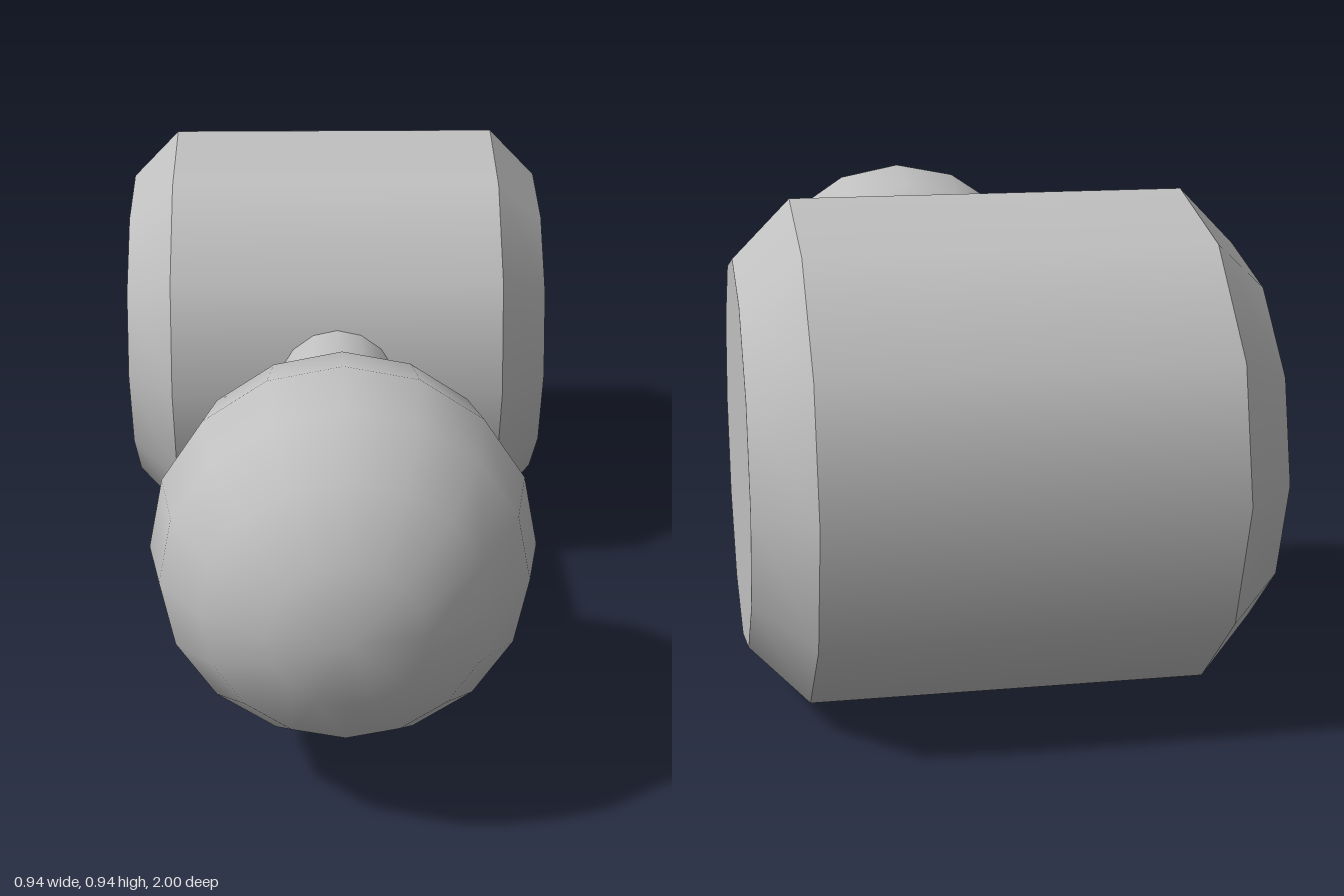
import * as THREE from 'three';

export function createModel() {
  const group = new THREE.Group();
  const grey = new THREE.MeshStandardMaterial({ color: 0xc0c0c0 });
  grey.name = 'grey';

  const add = (parent, name, geometry) => {
    const mesh = new THREE.Mesh(geometry, grey);
    mesh.name = name;
    parent.add(mesh);
    return mesh;
  };

  const centreY = 0.47;

  // Drum head: twelve-sided barrel lying along x, with bevelled ends
  const drumRadius = 0.47, capRadius = 0.363, halfBarrel = 0.365, halfLength = 0.47;
  const bevel = halfLength - halfBarrel;
  const drum = new THREE.Group();
  drum.name = 'drum';
  drum.position.set(0, centreY, -0.53);
  group.add(drum);

  add(drum, 'barrel', new THREE.CylinderGeometry(drumRadius, drumRadius, halfBarrel * 2, 12, 1, true)
    .rotateZ(Math.PI / 2));

  for (const [side, sign] of [['left', 1], ['right', -1]]) {
    add(drum, side + 'Bevel', new THREE.CylinderGeometry(capRadius, drumRadius, bevel, 12, 1, true)
      .rotateZ(-sign * Math.PI / 2)
      .translate(sign * (halfBarrel + bevel / 2), 0, 0));
    add(drum, side + 'Cap', new THREE.CircleGeometry(capRadius, 12)
      .rotateY(sign * Math.PI / 2)
      .translate(sign * halfLength, 0, 0));
  }

  // Ball: poles along z, last ring left open where the stem joins
  const ballRadius = 0.358, ballZ = 0.642, openAngle = Math.PI / 8;
  add(group, 'ball', new THREE.SphereGeometry(ballRadius, 16, 7, 0, Math.PI * 2, 0, Math.PI - openAngle)
    .rotateX(Math.PI / 2)).position.set(0, centreY, ballZ);

  // Stem: runs from the open ring of the ball into the drum
  const stemRadius = ballRadius * Math.sin(openAngle);
  const stemFront = ballZ - ballRadius * Math.cos(openAngle);
  const stemBack = -0.11;
  add(group, 'stem', new THREE.CylinderGeometry(stemRadius, stemRadius, stemFront - stemBack, 16, 1, true)
    .rotateX(Math.PI / 2)).position.set(0, centreY, (stemFront + stemBack) / 2);

  return group;
}
